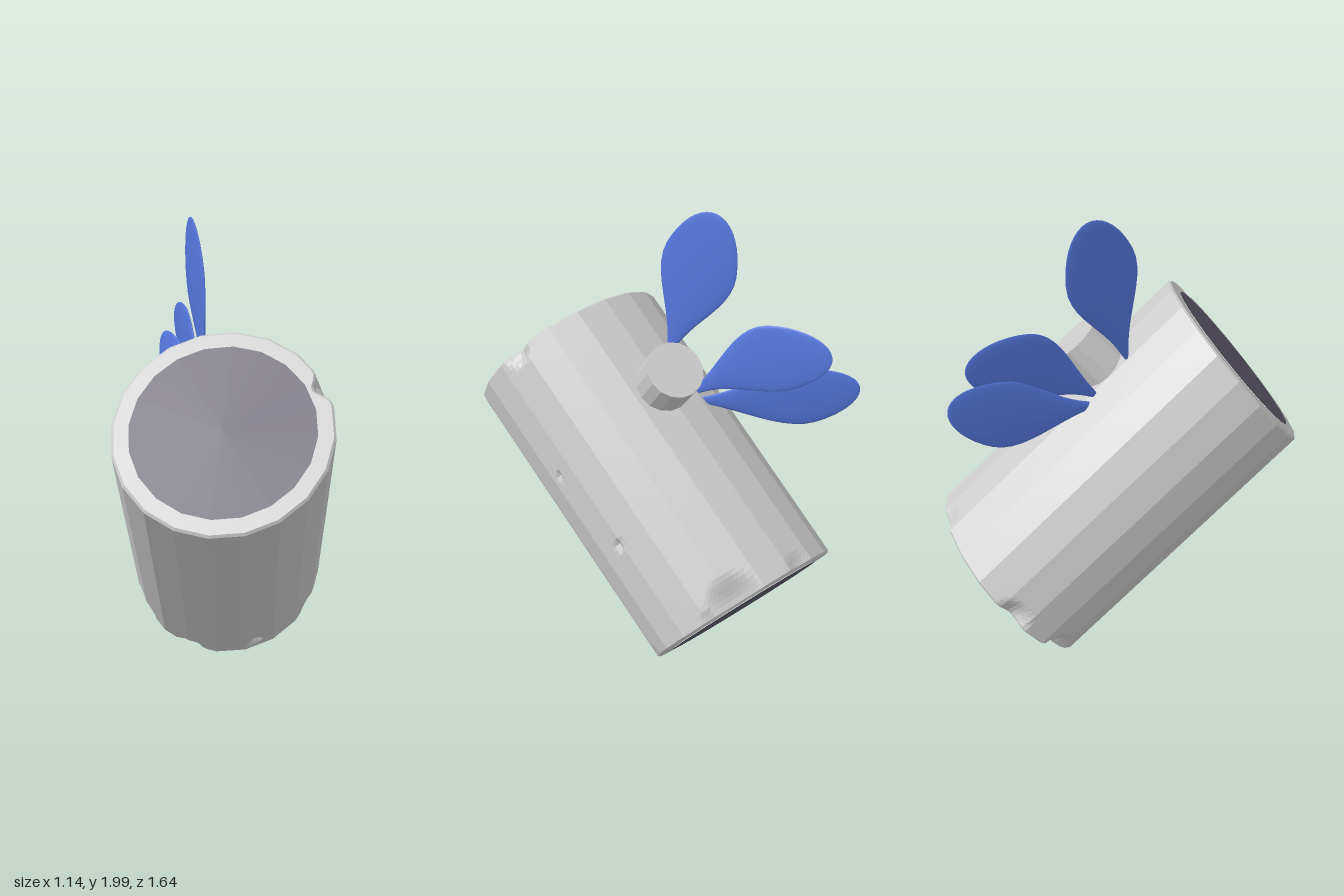
import * as THREE from 'three';

const V = (x, y, z) => new THREE.Vector3(x, y, z);
const SIDES = 20, R = 0.435, CORE = 0.365;

// Log frame: end centres, plane of the end cuts, and length
const back = V(0.16, 0.345, -0.46);
const front = V(-0.16, 1.245, 0.51);
const span = front.clone().sub(back);
const n = V(-0.33, 0.625, 0.707).normalize();
const u = V(1, 0, 0).addScaledVector(n, -n.x).normalize();
const v = n.clone().cross(u);

// Chips and dents in the bark: [t along log, angle in degrees, size, depth]
const CHIPS = [
  [1, 13, 0.075, 0.045], [0, 37, 0.14, 0.055], [0, 20, 0.06, 0.02],
  [0.05, -83, 0.055, 0.035], [0, 194, 0.1, 0.04], [0, 153, 0.1, 0.045],
  [0, 80, 0.08, 0.015], [0, 235, 0.08, 0.03], [0, -40, 0.07, 0.015],
  [0.34, -3, 0.035, 0.02], [0.62, -12, 0.025, 0.015],
];

function chipDepth(t, a) {
  let depth = 0;
  for (const [ct, deg, size, d] of CHIPS) {
    let da = a - deg * Math.PI / 180;
    da = Math.atan2(Math.sin(da), Math.cos(da));
    const q = ((R * da) ** 2 + (span.length() * (t - ct)) ** 2) / (size * size);
    if (q < 1) depth = Math.max(depth, d * (1 - q) ** 2);
  }
  return depth;
}

// Faceted trunk with flat end rims, worn by the chips
function barkGeometry() {
  const cols = SIDES * 6, rows = 64;
  const profile = [[0, CORE - 0.01], [0, R - 0.01]];
  for (let j = 0; j <= rows; j++) profile.push([0.006 + 0.988 * j / rows, R]);
  profile.push([1, R - 0.01], [1, CORE - 0.01]);
  const step = 2 * Math.PI / SIDES, pos = [], idx = [];
  for (const [t, r] of profile) {
    for (let i = 0; i < cols; i++) {
      const a = i / cols * 2 * Math.PI;
      const facet = Math.cos(step / 2) / Math.cos((i % 6) / 6 * step - step / 2);
      const rad = r * facet - (r > CORE ? chipDepth(t, a) : 0);
      const p = back.clone().addScaledVector(span, t)
        .addScaledVector(u, rad * Math.cos(a)).addScaledVector(v, rad * Math.sin(a));
      pos.push(p.x, p.y, p.z);
    }
  }
  for (let j = 0; j < profile.length - 1; j++) {
    for (let i = 0; i < cols; i++) {
      const a = j * cols + i, b = j * cols + (i + 1) % cols;
      idx.push(a, b, b + cols, a, b + cols, a + cols);
    }
  }
  const g = new THREE.BufferGeometry();
  g.setAttribute('position', new THREE.Float32BufferAttribute(pos, 3));
  g.setIndex(idx);
  g.computeVertexNormals();
  return g;
}

// Dark disc on a cut end
function coreDisc(centre, dir) {
  const g = new THREE.CircleGeometry(CORE, SIDES);
  if (dir < 0) g.rotateX(Math.PI);
  const c = centre.clone().addScaledVector(n, dir * 0.003);
  return g.applyMatrix4(new THREE.Matrix4().makeBasis(u, v, n).setPosition(c));
}

// Thin paddle-shaped leaf, narrow at the base and broad towards the tip
function leafGeometry(base, tip, halfWidth, bend, facing) {
  const dir = tip.clone().sub(base), len = dir.length();
  dir.normalize();
  const normal = facing.clone().addScaledVector(dir, -facing.dot(dir)).normalize();
  const across = dir.clone().cross(normal);
  const g = new THREE.SphereGeometry(1, 32, 24);
  const p = g.attributes.position;
  for (let i = 0; i < p.count; i++) {
    const s = (p.getY(i) + 1) / 2;
    const w = halfWidth * (0.22 + 0.83 * THREE.MathUtils.smoothstep(s, 0, 0.7));
    p.setXYZ(i, p.getX(i) * w + bend * Math.sin(Math.PI * s), s * len, p.getZ(i) * 0.013);
  }
  g.applyMatrix4(new THREE.Matrix4().makeBasis(across, dir, normal).setPosition(base));
  g.computeVertexNormals();
  return g;
}

export function createModel() {
  const model = new THREE.Group();
  model.name = 'log';
  const wood = new THREE.MeshStandardMaterial({ color: 0xcccccc, flatShading: true });
  const dark = new THREE.MeshStandardMaterial({ color: 0x5c5868 });
  const blue = new THREE.MeshStandardMaterial({ color: 0x5577dd });
  const add = (name, geometry, material) => {
    const m = new THREE.Mesh(geometry, material);
    m.name = name;
    model.add(m);
    return m;
  };

  add('trunk', barkGeometry(), wood);
  add('frontCore', coreDisc(front, 1), dark);
  add('backCore', coreDisc(back, -1), dark);

  // Cut branch stub, sunk into the trunk
  const stubTop = V(0.13, 1.41, -0.12), stubDir = V(0.43, 0.74, -0.52).normalize();
  const stub = add('branchStub', new THREE.CylinderGeometry(0.12, 0.12, 0.26, 16), wood);
  stub.position.copy(stubTop).addScaledVector(stubDir, -0.13);
  stub.quaternion.setFromUnitVectors(V(0, 1, 0), stubDir);

  // Leaves: base, tip, half width, sideways bend, facing direction
  [
    [V(-0.08, 1.36, 0.0), V(-0.09, 2.0, -0.2), 0.165, 0, V(1, 0, 0.05)],
    [V(-0.05, 1.21, -0.12), V(-0.025, 1.53, -0.71), 0.145, -0.05, V(1, 0.06, 0)],
    [V(-0.05, 1.18, -0.12), V(-0.065, 1.39, -0.825), 0.135, 0.03, V(1, -0.15, 0)],
  ].forEach((leaf, i) => add('leaf' + (i + 1), leafGeometry(...leaf), blue));

  return model;
}
